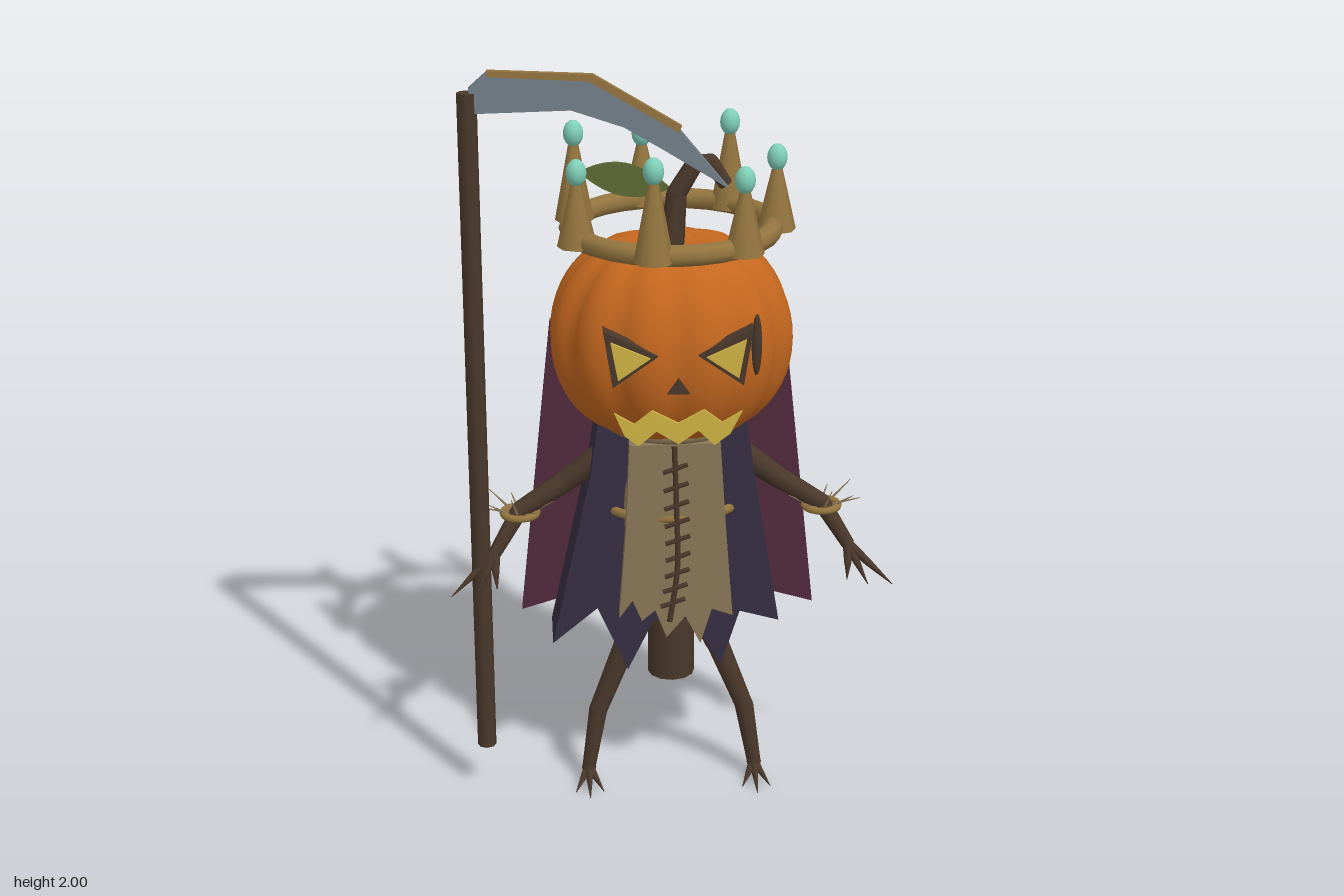
import * as THREE from 'three';

const mat = (name, color) => Object.assign(new THREE.MeshStandardMaterial({ color }), { name });
const V = (p) => new THREE.Vector3(...p);

export function createModel() {
  const orange = mat('pumpkin orange', 0xc4671f), gold = mat('old gold', 0x94753f);
  const wood = mat('dark wood', 0x4a382b), robeMat = mat('robe violet', 0x372e42);
  const capeMat = mat('cape plum', 0x512b3d), tan = mat('burlap tan', 0x8b7758);
  const steel = mat('blade steel', 0x74808a), gemMat = mat('gem mint', 0x80d0b8);
  const green = mat('leaf green', 0x5c6a36), glow = mat('glow yellow', 0xd0b244);

  const model = new THREE.Group();
  model.name = 'pumpkinScarecrow';
  const add = (name, geo, material, pos = [0, 0, 0], parent = model) => {
    const m = new THREE.Mesh(geo, material);
    m.name = name;
    m.position.set(...pos);
    parent.add(m);
    return m;
  };
  // flat plate cut from an outline, between two depths
  const plate = (name, pts, z0, z1, material) => {
    const shape = Array.isArray(pts) ? new THREE.Shape(pts.map((p) => new THREE.Vector2(...p))) : pts;
    return add(name, new THREE.ExtrudeGeometry(shape, { depth: z1 - z0, bevelEnabled: false }), material, [0, 0, z0]);
  };
  // tapered rod between two points
  const rod = (name, a, b, r0, r1, material, sides = 8, parent = model) => {
    const d = V(b).sub(V(a));
    const m = add(name, new THREE.CylinderGeometry(r1, r0, d.length(), sides), material,
      V(a).addScaledVector(d, 0.5).toArray(), parent);
    m.quaternion.setFromUnitVectors(new THREE.Vector3(0, 1, 0), d.normalize());
    return m;
  };
  // chain of rods with rounded joints
  const limb = (name, pts, radii, parent = model, material = wood) => {
    for (let i = 0; i < pts.length - 1; i++) {
      rod(name, pts[i], pts[i + 1], radii[i], radii[i + 1], material, 8, parent);
      if (i) add(name + 'Joint', new THREE.SphereGeometry(radii[i], 8, 6), material, pts[i], parent);
    }
  };
  const ring = (name, R, r, material, pos, sz = 1, seg = 28, parent = model) => {
    const g = new THREE.TorusGeometry(R, r, 8, seg).rotateX(Math.PI / 2).scale(1, 1, sz);
    return add(name, g, material, pos, parent);
  };

  // ribbed pumpkin head with dimpled top
  const head = new THREE.SphereGeometry(1, 72, 28);
  const hp = head.attributes.position;
  for (let i = 0; i < hp.count; i++) {
    const x = hp.getX(i), y = hp.getY(i), z = hp.getZ(i);
    const r = Math.hypot(x, z), a = Math.atan2(x, z);
    const k = r > 1e-5 ? Math.pow(r, 0.85) / r * (0.93 + 0.07 * Math.abs(Math.sin(6 * a))) : 0;
    const dent = 0.05 * Math.exp(-((r / 0.35) ** 2)) * Math.sign(y);
    hp.setXYZ(i, x * k * 0.318, y * 0.285 - dent, z * k * 0.275);
  }
  head.computeVertexNormals();
  add('pumpkinHead', head, orange, [0, 1.29, 0]);
  limb('stem', [[0, 1.5, -0.012], [0.015, 1.66, -0.012], [0.06, 1.735, -0.012], [0.1, 1.74, -0.012], [0.14, 1.68, -0.012]],
    [0.034, 0.026, 0.023, 0.021, 0.018]);

  // leaf
  const leaf = new THREE.Shape();
  leaf.moveTo(0, 1.67);
  leaf.quadraticCurveTo(-0.11, 1.78, -0.23, 1.715);
  leaf.quadraticCurveTo(-0.12, 1.61, 0, 1.67);
  plate('leaf', leaf, -0.031, -0.021, green);

  // crown with seven spikes of alternating height
  ring('crownBand', 0.257, 0.028, gold, [0, 1.578, 0]);
  for (let i = 0; i < 7; i++) {
    const a = (i / 7) * Math.PI * 2, x = 0.268 * Math.cos(a), z = -0.268 * Math.sin(a);
    const tip = i % 2 ? 1.77 : 1.73;
    rod('crownSpike', [x, 1.565, z], [x, tip, z], 0.05, 0.012, gold, 8);
    add('crownGem', new THREE.SphereGeometry(0.026, 12, 8).scale(1, 1.35, 1), gemMat, [x, tip + 0.022, z]);
  }

  // carved face
  for (const s of [-1, 1]) {
    const tri = (pts) => (s > 0 ? pts : pts.map(([x, y]) => [-x, y]).reverse());
    plate('eyeRim', tri([[0.05, 1.325], [0.163, 1.245], [0.186, 1.395]]), 0.235, 0.276, wood);
    plate('eyeGlow', tri([[0.07, 1.324], [0.15, 1.268], [0.168, 1.368]]), 0.28, 0.288, glow);
  }
  add('browSliver', new THREE.SphereGeometry(0.013, 8, 10).scale(1, 6.2, 0.8), wood, [0.195, 1.347, 0.264]);
  plate('nose', [[-0.028, 1.232], [0.028, 1.232], [0, 1.272]], 0.285, 0.294, wood);
  plate('mouth', [[-0.16, 1.18], [-0.135, 1.12], [-0.1, 1.092], [-0.055, 1.13], [0, 1.095], [0.05, 1.13],
    [0.09, 1.09], [0.13, 1.12], [0.16, 1.18], [0.11, 1.15], [0.065, 1.185], [0, 1.15], [-0.065, 1.185], [-0.11, 1.15]],
    0.274, 0.283, glow);

  // torso, trunk, collar and belt
  add('trunk', new THREE.CylinderGeometry(0.06, 0.063, 0.76, 12), wood, [0, 0.7, 0]);
  add('torso', new THREE.SphereGeometry(1, 20, 14).scale(0.15, 0.28, 0.122), tan, [0, 0.82, 0]);
  ring('collar', 0.16, 0.02, tan, [0, 1.065, 0]);
  ring('belt', 0.172, 0.013, gold, [0, 0.82, 0], 0.7);

  // ragged robe, front panel and cape
  plate('robe', [[-0.19, 1.09], [-0.215, 0.92], [-0.32, 0.44], [-0.2, 0.54], [-0.12, 0.355], [-0.05, 0.5], [0.05, 0.5],
    [0.13, 0.36], [0.18, 0.52], [0.285, 0.49], [0.215, 0.92], [0.19, 1.09]], -0.1, 0.06, robeMat);
  plate('frontPanel', [[-0.115, 1.03], [-0.125, 0.8], [-0.145, 0.54], [-0.11, 0.59], [-0.085, 0.53], [-0.05, 0.56],
    [-0.02, 0.48], [0.03, 0.54], [0.07, 0.46], [0.1, 0.56], [0.155, 0.54], [0.135, 0.8], [0.12, 1.03]], 0.085, 0.125, tan);
  const cape = new THREE.Shape();
  cape.moveTo(-0.31, 1.28);
  [[-0.4, 0.45], [-0.2, 0.51], [0, 0.35], [0.2, 0.51], [0.4, 0.45], [0.31, 1.28], [0.275, 1.28]].forEach((p) => cape.lineTo(...p));
  cape.bezierCurveTo(0.2, 0.95, -0.2, 0.95, -0.275, 1.28);
  plate('cape', cape, -0.165, -0.135, capeMat);

  // front lacing
  const seam = new THREE.CatmullRomCurve3([[0, 1.03, 0.13], [0.006, 0.85, 0.13], [0.008, 0.68, 0.13], [-0.012, 0.53, 0.13]].map(V));
  add('seam', new THREE.TubeGeometry(seam, 16, 0.008, 6), wood);
  for (let i = 0; i < 9; i++) {
    const p = seam.getPoint(0.12 + i * 0.095);
    rod('stitch', [p.x - 0.032, p.y - 0.01, 0.132], [p.x + 0.032, p.y + 0.012, 0.132], 0.006, 0.006, wood, 6);
  }

  // arms, straw cuffs, legs and feet
  for (const s of [-1, 1]) {
    const side = s > 0 ? 'left' : 'right';
    const at = (x, y, z) => [s * x, y, z];
    const arm = new THREE.Group();
    arm.name = side + 'Arm';
    model.add(arm);
    limb('armBranch', [at(0.15, 0.98, 0), at(0.28, 0.88, -0.01), at(0.4, 0.81, 0.01), at(0.47, 0.7, 0.045)],
      [0.036, 0.03, 0.024, 0.018], arm);
    for (const f of [[0.585, 0.6, 0.09], [0.52, 0.6, 0.085], [0.465, 0.61, 0.075]]) {
      const mid = at(0.47 + (f[0] - 0.47) * 0.45, 0.655, 0.065);
      limb('finger', [at(0.468, 0.705, 0.044), mid, at(...f)], [0.013, 0.01, 0.001], arm);
    }
    ring('cuff', 0.045, 0.01, gold, at(0.4, 0.8, 0.005), 1, 16, arm);
    for (let i = 0; i < 9; i++) {
      const a = (i / 9) * Math.PI * 2, c = Math.cos(a), d = Math.sin(a), lift = (i % 3) * 0.02;
      rod('straw', at(0.4 + 0.03 * c, 0.8, 0.03 * d), at(0.405 + 0.1 * c, 0.815 + lift, 0.05 * d), 0.004, 0.001, tan, 5, arm);
    }

    const leg = new THREE.Group();
    leg.name = side + 'Leg';
    model.add(leg);
    limb('legBranch', [at(0.07, 0.52, 0), at(0.125, 0.4, 0), at(0.2, 0.21, 0.01), at(0.228, 0.04, 0.025)],
      [0.034, 0.032, 0.026, 0.019], leg);
    add('ankle', new THREE.SphereGeometry(0.02, 8, 6), wood, at(0.228, 0.04, 0.025), leg);
    for (const [dx, z] of [[-0.038, 0.1], [0, 0.135], [0.038, 0.1]])
      rod('toe', at(0.228, 0.038, 0.02), at(0.228 + dx, 0.004, z), 0.015, 0.001, wood, 6, leg);
  }

  // scythe
  rod('scythePole', [-0.505, 0.135, 0.047], [-0.505, 1.94, 0.047], 0.025, 0.025, wood, 8);
  plate('scytheBlade', [[-0.5, 1.95], [-0.455, 1.99], [-0.2, 1.975], [0.01, 1.85], [0.14, 1.69],
    [-0.02, 1.79], [-0.12, 1.85], [-0.25, 1.895], [-0.49, 1.89]], 0.03, 0.062, steel);
  plate('bladeRim', [[-0.455, 2.0], [-0.455, 1.985], [-0.205, 1.97], [0.015, 1.838], [0.022, 1.855], [-0.195, 1.987]],
    0.06, 0.078, gold);

  return model;
}
